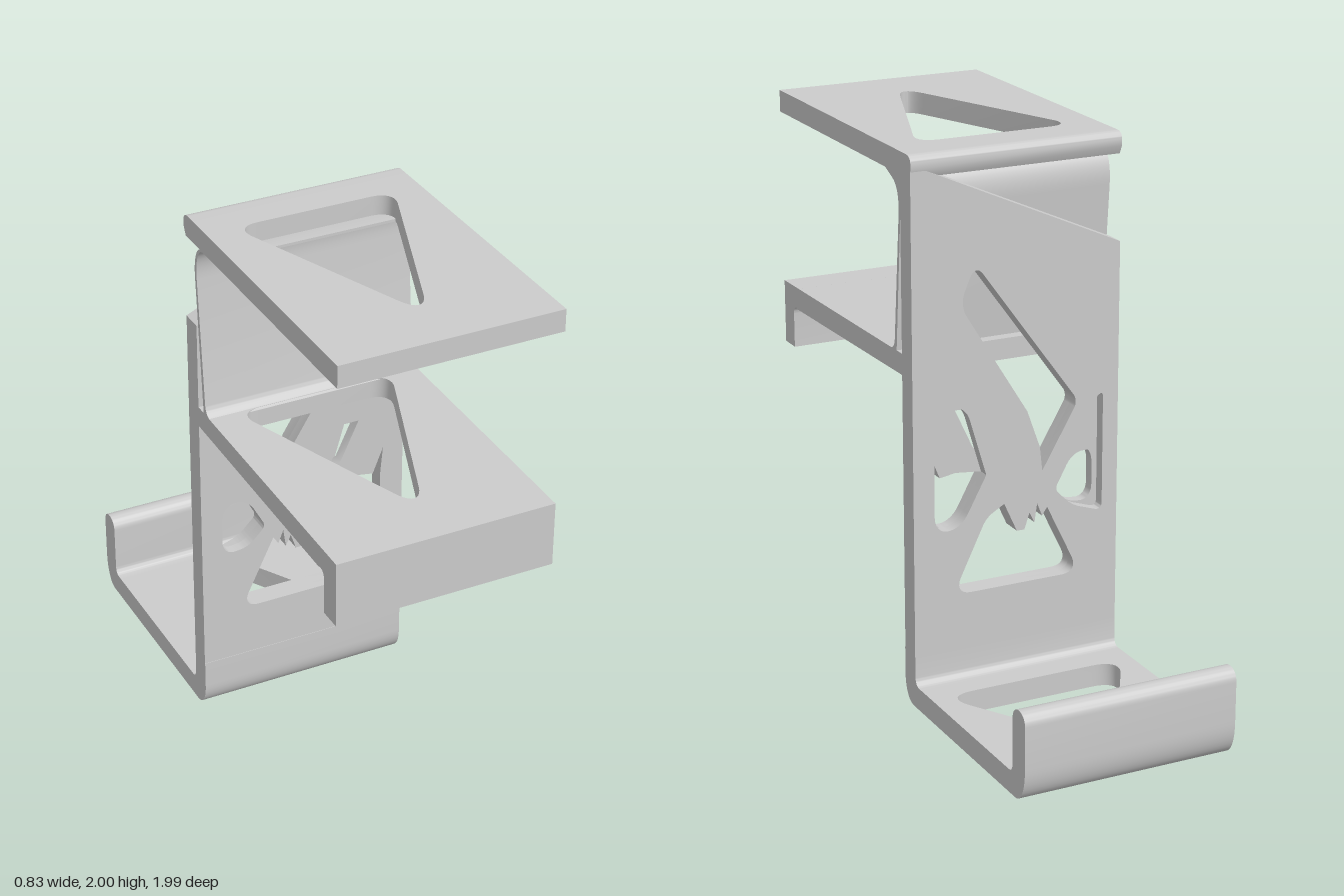
import * as THREE from 'three';
import { toCreasedNormals } from 'three/addons/utils/BufferGeometryUtils.js';

const W = 0.8; // strap width

// Closed outline from [u, v, cornerRadius] points
function outline(points, Type = THREE.Shape) {
  const s = new Type();
  const n = points.length;
  points.forEach(([u, v, r = 0], i) => {
    const p = new THREE.Vector2(u, v);
    const toward = ([a, b]) => {
      const d = new THREE.Vector2(a, b).sub(p);
      return p.clone().addScaledVector(d, Math.min(r / d.length(), 0.5));
    };
    const a = toward(points[(i + n - 1) % n]);
    const b = toward(points[(i + 1) % n]);
    if (i === 0) s.moveTo(a.x, a.y);
    else s.lineTo(a.x, a.y);
    if (r > 0) s.bezierCurveTo(
      a.x + (u - a.x) * 0.6, a.y + (v - a.y) * 0.6,
      b.x + (u - b.x) * 0.6, b.y + (v - b.y) * 0.6, b.x, b.y);
  });
  s.closePath();
  return s;
}

function extrude(points, depth, holes = []) {
  const shape = outline(points);
  shape.holes = holes.map((h) => outline(h, THREE.Path));
  return new THREE.ExtrudeGeometry(shape, { depth, bevelEnabled: false, curveSegments: 10 });
}

// Side profile in (z, y), swept across x
const profile = (points, width = W, right = W / 2) =>
  extrude(points, width).rotateY(-Math.PI / 2).translate(right, 0, 0);

// Horizontal plate between two z values with one hole given in (x, z)
function plate(z0, z1, y, thickness, hole) {
  const w = W / 2;
  const flip = ([x, z, r]) => [x, -z, r];
  const rect = [[-w, z0], [w, z0], [w, z1], [-w, z1]].map(flip);
  return extrude(rect, thickness, [hole.map(flip)]).rotateX(-Math.PI / 2).translate(0, y, 0);
}

export function createModel() {
  const group = new THREE.Group();
  const material = new THREE.MeshStandardMaterial({ color: 0xcccccc, side: THREE.DoubleSide });
  const add = (name, geometry) => {
    const mesh = new THREE.Mesh(toCreasedNormals(geometry, 0.6), material);
    mesh.name = name;
    group.add(mesh);
    return mesh;
  };

  const armHole = [[-0.3, 0.03, 0.09], [0.3, 0.03, 0.09], [0, 0.83, 0.13]];
  const trayHole = [[-0.36, -0.27, 0.12], [0.36, -0.27, 0.12], [0, -0.88, 0.12]];

  // Upper arm and its rounded rear edge
  add('upperArm', plate(-0.06, 0.99, 1.92, 0.08, armHole));
  add('upperRearEdge', profile([[-0.06, 1.92], [-0.06, 2], [-0.145, 2, 0.035], [-0.145, 1.95], [-0.13, 1.92]]));

  // Lower arm, thinning slightly toward the lip
  const arm = plate(-0.06, 0.87, 0, 0.08, armHole);
  const p = arm.attributes.position;
  for (let i = 0; i < p.count; i++) {
    const z = p.getZ(i);
    p.setY(i, p.getY(i) > 0.04 ? 1.29 - 0.013 * z : 1.213 - 0.02 * z);
  }
  add('lowerArm', arm);
  add('lowerArmLip', profile([[0.85, 1.198], [0.905, 1.2, 0.03], [0.905, 1.04], [0.99, 1.04], [0.99, 1.277], [0.85, 1.279]]));

  // Curved skin bridging the two arms in front of the wall
  add('innerSkin', profile([
    [0.09, 1.92], [-0.06, 1.92, 0.13], [0.0, 1.3, 0.03], [0.04, 1.285],
    [-0.015, 1.27], [-0.073, 1.925, 0.13], [0.09, 1.93],
  ]));
  add('filletEnd', profile([[0.06, 1.92], [-0.035, 1.88, 0.04], [-0.054, 1.78], [-0.08, 1.7], [-0.08, 1.93]], 0.02));

  // Upright wall in two layers, with a slanting top edge and worn truss openings
  const w = W / 2;
  const wall = [[-w, 0.2], [w, 0.2], [w, 1.97], [-w, 1.61]];
  const lowerOpening = [
    [-0.25, 0.4, 0.07], [0.25, 0.4, 0.07], [0.12, 0.67, 0.03], [0.05, 0.71], [0, 0.6], [-0.03, 0.6],
    [-0.05, 0.66], [-0.07, 0.62], [-0.08, 0.69], [-0.1, 0.64], [-0.12, 0.67],
  ];
  const upperOpening = [
    [-0.24, 1.05, 0.03], [-0.1, 0.81], [-0.09, 0.9], [-0.04, 1.04], [0.22, 1.46, 0.05], [0.16, 1.6, 0.05],
  ];
  const frontHoles = [
    lowerOpening, upperOpening,
    [[-0.32, 0.65, 0.06], [-0.32, 0.86, 0.07], [-0.22, 0.86, 0.05], [-0.15, 0.73, 0.02], [-0.22, 0.66, 0.03]],
    [[0.12, 0.83], [0.22, 0.645, 0.06], [0.315, 0.645, 0.06], [0.31, 0.82], [0.32, 0.93], [0.28, 0.83], [0.22, 0.84]],
    [[0.1, 0.89], [0.15, 0.92], [0.22, 1.07], [0.16, 1.07]],
  ];
  const backHoles = [
    lowerOpening, upperOpening,
    [[-0.34, 0.62, 0.03], [-0.34, 1.07, 0.02], [-0.31, 1.05], [-0.3, 0.86], [-0.22, 0.86, 0.05], [-0.15, 0.73, 0.02], [-0.22, 0.66, 0.03]],
    [[0.12, 0.83], [0.22, 0.645, 0.06], [0.32, 0.645, 0.06], [0.32, 1.1, 0.06], [0.2, 1.1, 0.06]],
  ];
  add('wallFront', extrude(wall, 0.04, frontHoles).translate(0, 0, -0.1));
  add('wallBack', extrude(wall, 0.042, backHoles).translate(0, 0, -0.142));

  // Rear tray: bend, floor and upturned hook
  add('lowerBend', profile([
    [-0.058, 0.2], [-0.058, 0, 0.12], [-0.2, 0], [-0.2, 0.083], [-0.142, 0.083, 0.035], [-0.142, 0.2],
  ]));
  add('trayFloor', plate(-0.85, -0.2, 0, 0.083, trayHole));
  add('trayHook', profile([
    [-0.85, 0], [-0.99, 0, 0.13], [-0.99, 0.325, 0.045], [-0.9, 0.325, 0.045], [-0.9, 0.083, 0.03], [-0.85, 0.083],
  ]));

  // The whole bracket is turned very slightly
  group.rotation.y = -0.0175;
  return group;
}
